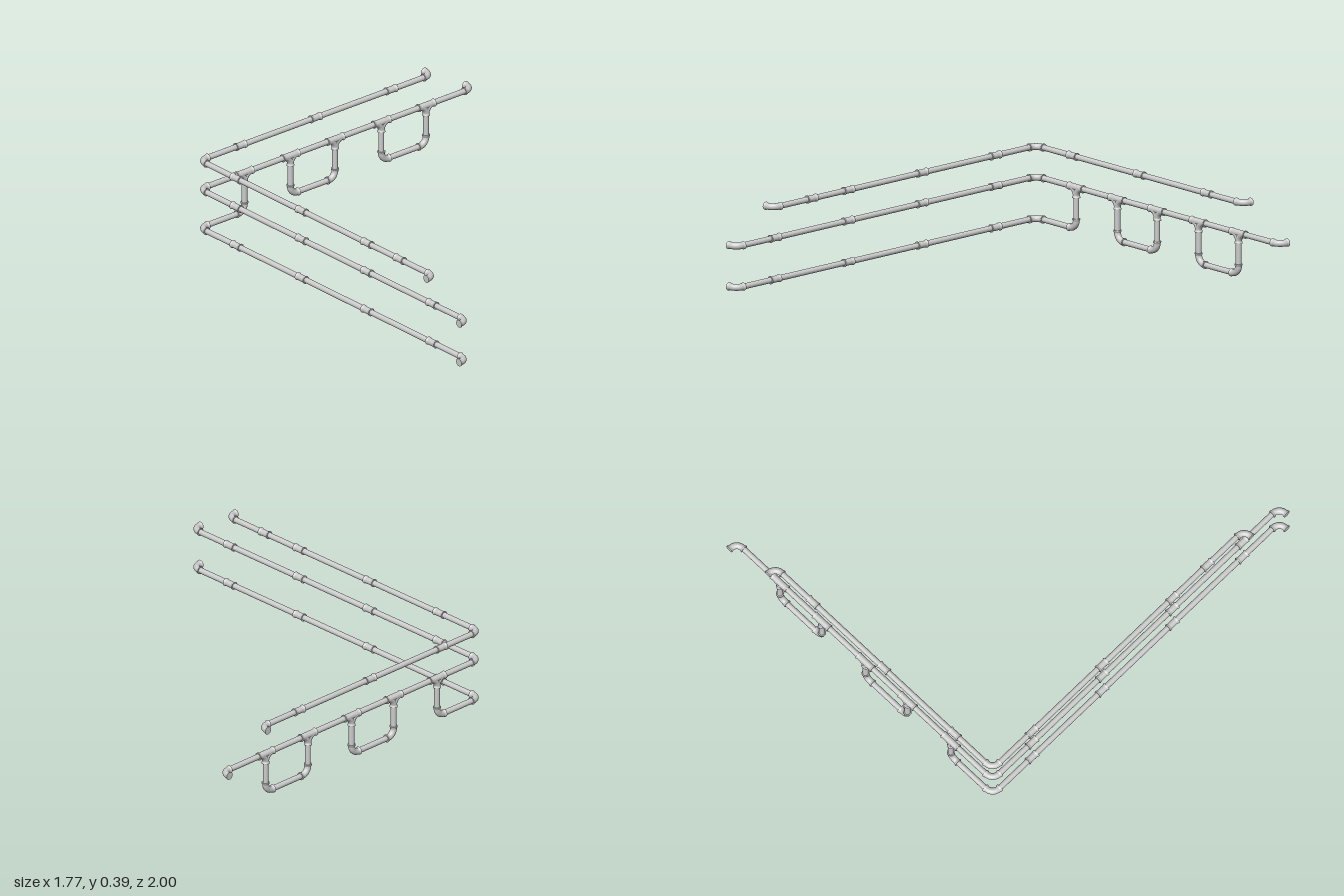
import * as THREE from 'three';

const PIPE = 0.0138, BODY = 0.0162, RIM = 0.0195, REACH = 0.05;
const SIDES = 20;
const V = (x, y, z) => new THREE.Vector3(x, y, z);
const X = V(1, 0, 0), Y = V(0, 1, 0), Z = V(0, 0, 1);
const neg = (v) => v.clone().negate();
const step = (p, dir, d) => p.clone().addScaledVector(dir, d);

export function createModel() {
  const model = new THREE.Group();
  const mat = new THREE.MeshStandardMaterial({ color: 0xcccccc });

  function add(parent, name, geometry) {
    const mesh = new THREE.Mesh(geometry, mat);
    mesh.name = name;
    parent.add(mesh);
    return mesh;
  }
  function group(name) {
    const g = new THREE.Group();
    g.name = name;
    model.add(g);
    return g;
  }

  // Straight round bar between two points
  function bar(parent, name, a, b, radius = PIPE) {
    const mesh = add(parent, name, new THREE.CylinderGeometry(radius, radius, a.distanceTo(b), SIDES));
    mesh.position.copy(a).lerp(b, 0.5);
    mesh.quaternion.setFromUnitVectors(Y, b.clone().sub(a).normalize());
  }

  // Flared socket rim: its flat face is at p and looks along dir
  const rimProfile = [[BODY - 0.001, -0.014], [BODY + 0.0008, -0.009], [RIM, -0.004],
    [RIM, -0.004], [RIM, 0], [RIM, 0], [0, 0]].map(([r, y]) => new THREE.Vector2(r, y));
  const rimGeometry = new THREE.LatheGeometry(rimProfile, SIDES);
  function rim(parent, p, dir) {
    const mesh = add(parent, 'socketRim', rimGeometry);
    mesh.position.copy(p);
    mesh.quaternion.setFromUnitVectors(Y, dir);
  }

  // Quarter bend around a corner with short straight ends
  function bend(parent, corner, d1, d2) {
    const a = step(corner, d1, 0.042), b = step(corner, d2, 0.042);
    const path = new THREE.CurvePath();
    path.add(new THREE.LineCurve3(step(corner, d1, REACH - 0.001), a));
    path.add(new THREE.CubicBezierCurve3(a, step(corner, d1, 0.0188), step(corner, d2, 0.0188), b));
    path.add(new THREE.LineCurve3(b, step(corner, d2, REACH - 0.001)));
    add(parent, 'bend', new THREE.TubeGeometry(path, 16, BODY, SIDES));
  }

  function elbow(name, corner, d1, d2) {
    const g = group(name);
    bend(g, corner, d1, d2);
    for (const d of [d1, d2]) rim(g, step(corner, d, REACH), d);
  }

  // Inline sleeve joining two lengths of pipe
  function coupling(p, dir) {
    const g = group('coupling');
    bar(g, 'sleeve', step(p, dir, -0.029), step(p, dir, 0.029), BODY);
    rim(g, step(p, dir, 0.03), dir);
    rim(g, step(p, dir, -0.03), neg(dir));
  }

  // Swept tee with its branch pointing down
  function tee(p) {
    const g = group('tee');
    bar(g, 'teeBody', step(p, X, -0.049), step(p, X, 0.049), BODY);
    for (const side of [X, neg(X)]) {
      bend(g, p, neg(Y), side);
      rim(g, step(p, side, REACH), side);
    }
    rim(g, step(p, Y, -REACH), neg(Y));
  }

  const CX = -0.838, CZ = -0.95;
  const LOW = 0.0195, MID = 0.222, TOP = 0.372;
  const inset = REACH - 0.01;

  // Side run with its front return, back corner and inline sleeves
  function sideRun(y, zEnd, joints) {
    bar(model, 'sidePipe', V(CX, y, zEnd - inset), V(CX, y, CZ + inset));
    elbow('frontReturn', V(CX, y, zEnd), neg(Z), neg(X));
    elbow('cornerElbow', V(CX, y, CZ), Z, X);
    for (const z of joints) coupling(V(CX, y, z), Z);
  }
  sideRun(TOP, 0.743, [0.495, 0.26, -0.213, -0.685]);
  for (const y of [MID, LOW]) sideRun(y, 0.98, [0.73, 0.26, -0.213, -0.685]);

  // Back runs, each turning backwards at the far end
  for (const [y, xEnd] of [[TOP, 0.609], [MID, 0.865]]) {
    bar(model, 'backPipe', V(CX + inset, y, CZ), V(xEnd - inset, y, CZ));
    elbow('backReturn', V(xEnd, y, CZ), neg(X), neg(Z));
  }
  for (const x of [-0.585, -0.115, 0.357]) coupling(V(x, TOP, CZ), X);

  // Drops from the middle rail; each lower elbow turns toward its loop
  const drops = [[-0.56, -1], [-0.272, 1], [0.007, -1], [0.297, 1], [0.577, -1]];
  for (const [x, side] of drops) {
    tee(V(x, MID, CZ));
    bar(model, 'dropPipe', V(x, MID - inset, CZ), V(x, LOW + inset, CZ));
    elbow('dropElbow', V(x, LOW, CZ), Y, V(side, 0, 0));
  }

  // Lower horizontal pipes: corner stub and two loops
  for (const [a, b] of [[CX, -0.56], [-0.272, 0.007], [0.297, 0.577]]) {
    bar(model, 'lowerPipe', V(a + inset, LOW, CZ), V(b - inset, LOW, CZ));
  }
  return model;
}
